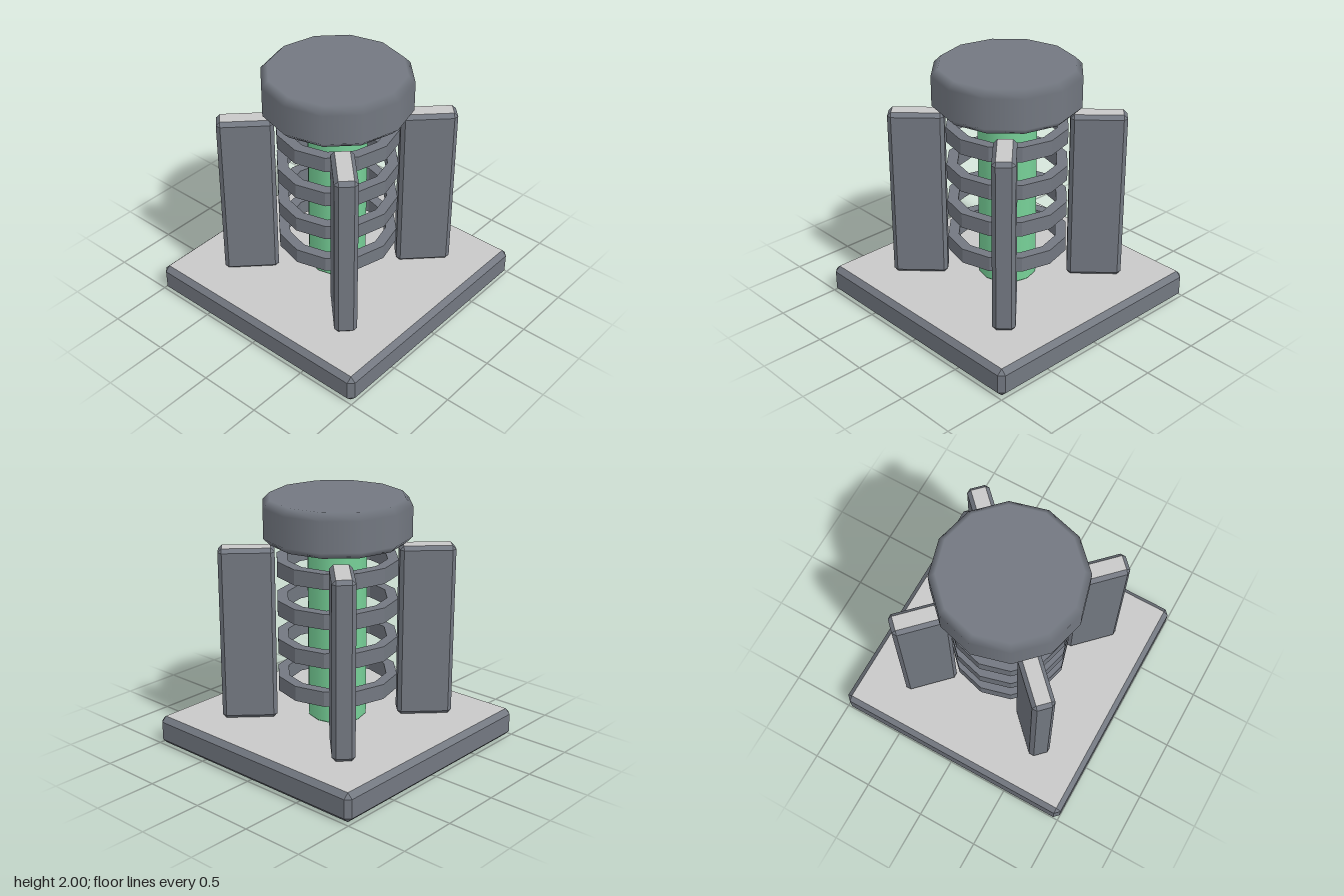
import * as THREE from 'three';
import { ConvexGeometry } from 'three/addons/geometries/ConvexGeometry.js';

function paint(name, color) {
  const m = new THREE.MeshStandardMaterial({ color });
  m.name = name;
  return m;
}

// Box with every edge chamfered by c; group 0 = sides and chamfers, group 1 = top and bottom
function chamferBox(w, h, d, c) {
  const pts = [];
  for (const sx of [-1, 1]) for (const sy of [-1, 1]) for (const sz of [-1, 1]) {
    const x = w / 2, y = h / 2, z = d / 2;
    pts.push(
      new THREE.Vector3(sx * x, sy * (y - c), sz * (z - c)),
      new THREE.Vector3(sx * (x - c), sy * y, sz * (z - c)),
      new THREE.Vector3(sx * (x - c), sy * (y - c), sz * z));
  }
  const hull = new ConvexGeometry(pts);
  const p = hull.attributes.position, n = hull.attributes.normal;
  const sides = [], caps = [];
  for (let i = 0; i < p.count; i++) {
    const list = Math.abs(n.getY(i)) > 0.99 ? caps : sides;
    list.push(p.getX(i), p.getY(i), p.getZ(i));
  }
  const g = new THREE.BufferGeometry();
  g.setAttribute('position', new THREE.Float32BufferAttribute([...sides, ...caps], 3));
  g.computeVertexNormals();
  g.addGroup(0, sides.length / 3, 0);
  g.addGroup(sides.length / 3, caps.length / 3, 1);
  return g;
}

// Twelve-sided drum with softly shaded bevels and flat ends
function bevelDrum(r, y0, y1, b) {
  const profile = [[0, y0], [r - b, y0], [r, y0 + b], [r, y1 - b], [r - b, y1], [0, y1]]
    .map(([x, y]) => new THREE.Vector2(x, y));
  const g = new THREE.LatheGeometry(profile, 12);
  const n = g.attributes.normal;
  for (let i = 0; i < n.count; i++) {
    const j = i % 6, a = Math.floor(i / 6) * Math.PI / 6;
    if (j < 2) n.setXYZ(i, 0, -1, 0);
    else if (j > 3) n.setXYZ(i, 0, 1, 0);
    else n.setXYZ(i, Math.sin(a), 0, Math.cos(a));
  }
  return g;
}

// Faceted flat ring with a rectangular section
function bandRing(inner, outer, h) {
  const profile = [[inner, -h / 2], [outer, -h / 2], [outer, h / 2], [inner, h / 2], [inner, -h / 2]]
    .map(([x, y]) => new THREE.Vector2(x, y));
  const g = new THREE.LatheGeometry(profile, 12).toNonIndexed();
  g.computeVertexNormals();
  return g;
}

export function createModel() {
  const slate = paint('slate', 0x737881);
  const pale = paint('paleGrey', 0xc8c8c8);
  const green = paint('green', 0x77d198);
  const model = new THREE.Group();
  model.name = 'coilPillar';

  function add(name, geometry, material) {
    const mesh = new THREE.Mesh(geometry, material);
    mesh.name = name;
    model.add(mesh);
    return mesh;
  }

  // Square base plate
  add('base', chamferBox(2, 0.23, 2, 0.04), [slate, pale]).position.y = 0.115;

  // Central rod and the cap on top
  add('coreRod', bevelDrum(0.232, 0.23, 1.68, 0.018), green);
  add('cap', bevelDrum(0.577, 1.66, 2, 0.053), slate);

  // Rings around the rod
  const ring = bandRing(0.39, 0.475, 0.12);
  for (let i = 0; i < 4; i++) add('ring', ring, slate).position.y = 0.542 + i * 0.309;

  // Four upright fins on the diagonals
  const fin = chamferBox(0.43, 1.385, 0.174, 0.03);
  for (let i = 0; i < 4; i++) {
    const a = Math.PI / 4 + i * Math.PI / 2;
    const mesh = add('fin', fin, [slate, pale]);
    mesh.position.set(Math.cos(a) * 0.689, 0.9225, -Math.sin(a) * 0.689);
    mesh.rotation.y = a;
  }
  return model;
}
